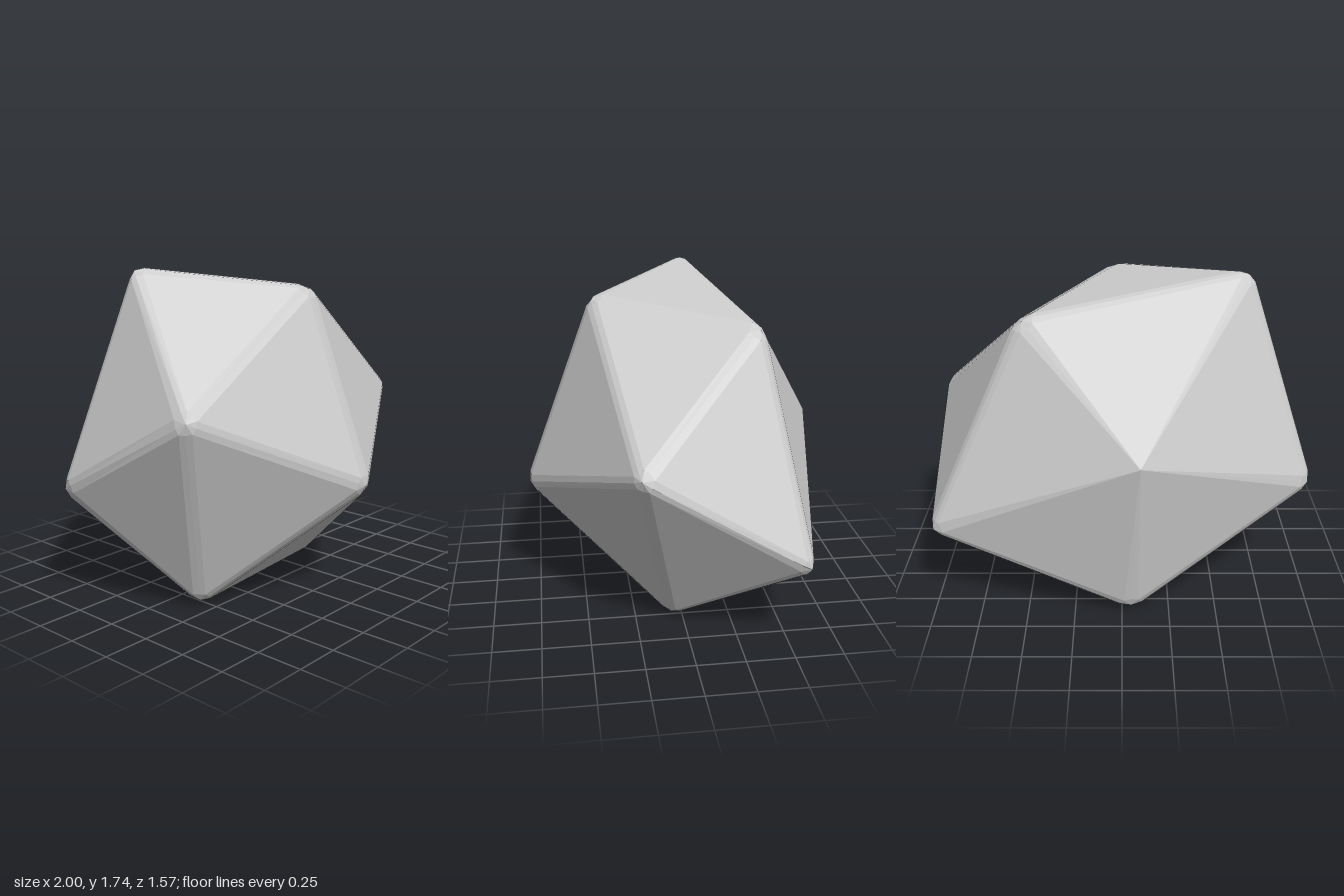
import * as THREE from 'three';

// Corner points of an irregular twenty-sided rock
const CORNERS = {
  A: [-0.65, 1.73, -0.16], B: [0.5, 1.55, -0.39], C: [0.03, 1.63, 0.42],
  D: [-0.88, 1.06, 0.42], E: [1.0, 0.98, 0.26], F: [0.06, 0.63, 0.79],
  G: [-1.0, 0.63, -0.34], H: [0.99, 0.47, -0.57], I: [-0.55, 0.02, 0.18],
  J: [0.51, 0.01, 0.06], K: [-0.05, 0.03, -0.62], L: [-0.09, 0.93, -0.79],
};
const FACES = 'ACD ABC BCE CEF CDF LAB LAG LBH LGK LHK ADG DGI DFI FIJ FJE EJH EBH JHK IJK IGK'.split(' ');
const CENTRE = new THREE.Vector3(0, 0.83, -0.05);
const BEVEL = 0.036;

function buildRock() {
  // Each corner has its own bevel size; the back corner stays sharp
  const corner = {};
  for (const [name, p] of Object.entries(CORNERS)) {
    const base = new THREE.Vector3(...p);
    const out = base.clone().sub(CENTRE).normalize();
    const d = name === 'L' ? 0 : BEVEL;
    corner[name] = {
      out, d,
      v: base.clone().addScaledVector(out, d * 0.5),
      tip: base.clone().addScaledVector(out, d * -0.2),
    };
  }
  const dir = (a, b) => b.v.clone().sub(a.v).normalize();
  // Point on a face, set in from both of its edges
  const inset = (a, b, c) =>
    a.v.clone().addScaledVector(dir(a, b).add(dir(a, c)).normalize(), a.d * 2);
  // Point on the lowered ridge of an edge
  const ridge = (a, b) =>
    a.v.clone().addScaledVector(dir(a, b), a.d * 1.73).addScaledVector(a.out, -a.d * 0.32);

  const positions = [];
  const tri = (a, b, c) => {
    const area = b.clone().sub(a).cross(c.clone().sub(a)).length();
    if (area > 1e-7) for (const p of [a, b, c]) positions.push(p.x, p.y, p.z);
  };

  for (const face of FACES) {
    const k = [...face].map((n) => corner[n]);
    // Turn the face outward
    const n = k[1].v.clone().sub(k[0].v).cross(k[2].v.clone().sub(k[0].v));
    if (n.dot(k[0].v.clone().sub(CENTRE)) < 0) k.reverse();
    const inner = k.map((a, i) => inset(a, k[(i + 1) % 3], k[(i + 2) % 3]));
    tri(...inner);
    for (let i = 0; i < 3; i++) {
      const j = (i + 1) % 3, h = (i + 2) % 3;
      const a = ridge(k[i], k[j]), b = ridge(k[j], k[i]);
      // Half of the bevel band along this edge
      tri(a, b, inner[j]);
      tri(a, inner[j], inner[i]);
      // This face's share of the corner cap
      tri(k[i].tip, a, inner[i]);
      tri(k[i].tip, inner[i], ridge(k[i], k[h]));
    }
  }
  const geometry = new THREE.BufferGeometry();
  geometry.setAttribute('position', new THREE.Float32BufferAttribute(positions, 3));
  geometry.computeVertexNormals();
  return geometry;
}

export function createModel() {
  const stone = new THREE.MeshStandardMaterial({ color: 0xcccccc, flatShading: true });
  stone.name = 'stone grey';
  const rock = new THREE.Mesh(buildRock(), stone);
  rock.name = 'rock';
  const group = new THREE.Group();
  group.name = 'bevelledRock';
  group.add(rock);
  return group;
}
